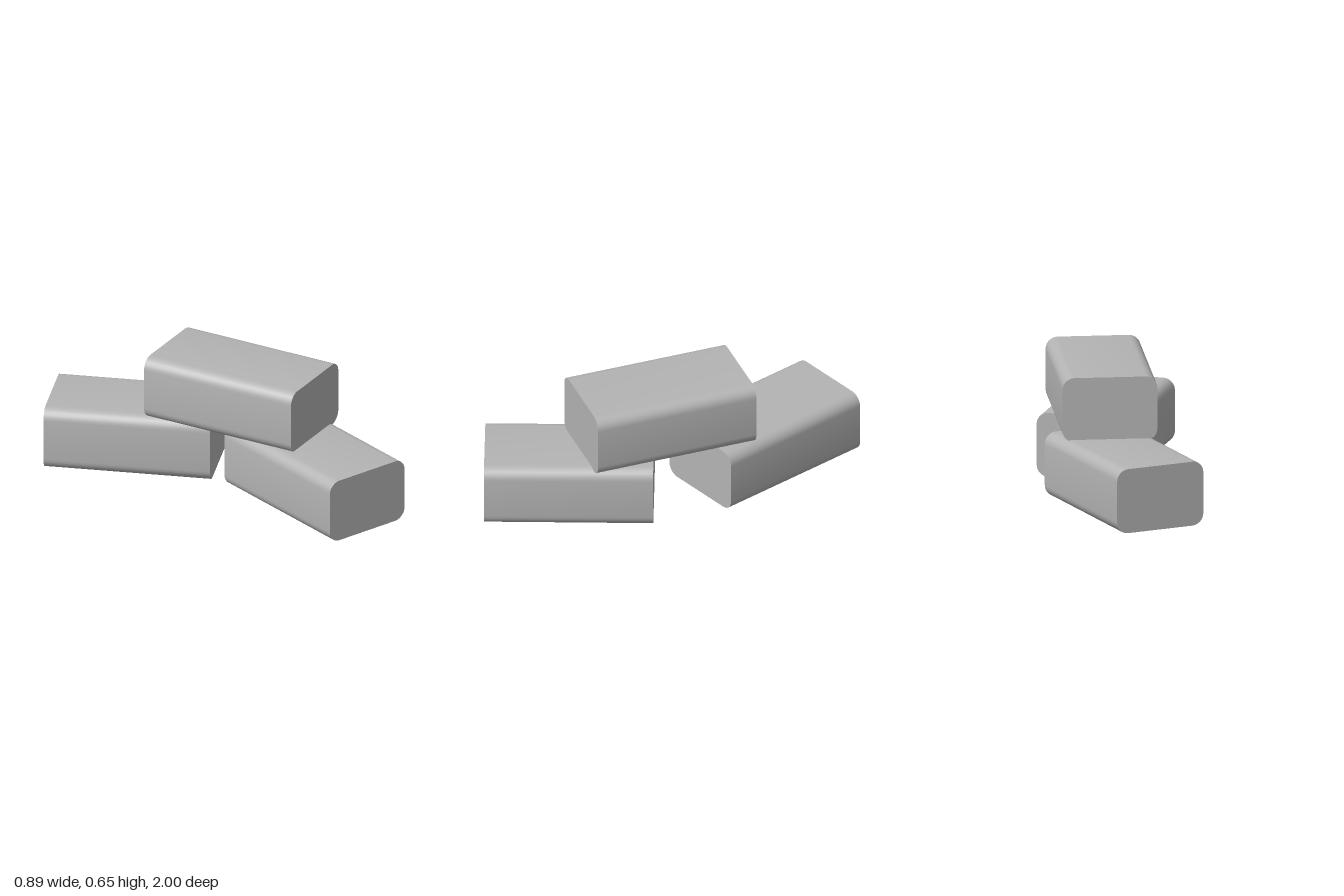
import * as THREE from 'three';
import { toCreasedNormals } from 'three/addons/utils/BufferGeometryUtils.js';

const WIDTH = 0.48, HEIGHT = 0.332, LENGTH = 0.852, RADIUS = 0.06;

// Rounded-rectangle bar running along z, with flat ends and smooth long edges
function blockGeometry() {
  const x = WIDTH / 2, y = HEIGHT / 2, r = RADIUS;
  const shape = new THREE.Shape();
  shape.absarc(x - r, y - r, r, 0, Math.PI / 2);
  shape.absarc(r - x, y - r, r, Math.PI / 2, Math.PI);
  shape.absarc(r - x, r - y, r, Math.PI, Math.PI * 1.5);
  shape.absarc(x - r, r - y, r, Math.PI * 1.5, Math.PI * 2);
  shape.closePath();
  const geometry = new THREE.ExtrudeGeometry(shape, { depth: LENGTH, curveSegments: 3, bevelEnabled: false });
  geometry.translate(0, HEIGHT / 2, -LENGTH / 2);
  return toCreasedNormals(geometry, 0.8);
}

export function createModel() {
  const group = new THREE.Group();
  group.name = 'stackedBlocks';
  const stone = new THREE.MeshStandardMaterial({ color: 0xb4b4b4 });
  stone.name = 'grey stone';
  const geometry = blockGeometry();

  // Two blocks on the ground, a third bridging them
  const blocks = [
    ['frontBlock', 0.11, 0, 0.525, -0.231],
    ['backBlock', -0.032, 0, -0.512, 0.49],
    ['topBlock', 0.109, 0.321, 0.056, 0.148],
  ];
  for (const [name, x, y, z, turn] of blocks) {
    const block = new THREE.Mesh(geometry, stone);
    block.name = name;
    block.position.set(x, y, z);
    block.rotation.y = turn;
    group.add(block);
  }
  return group;
}
